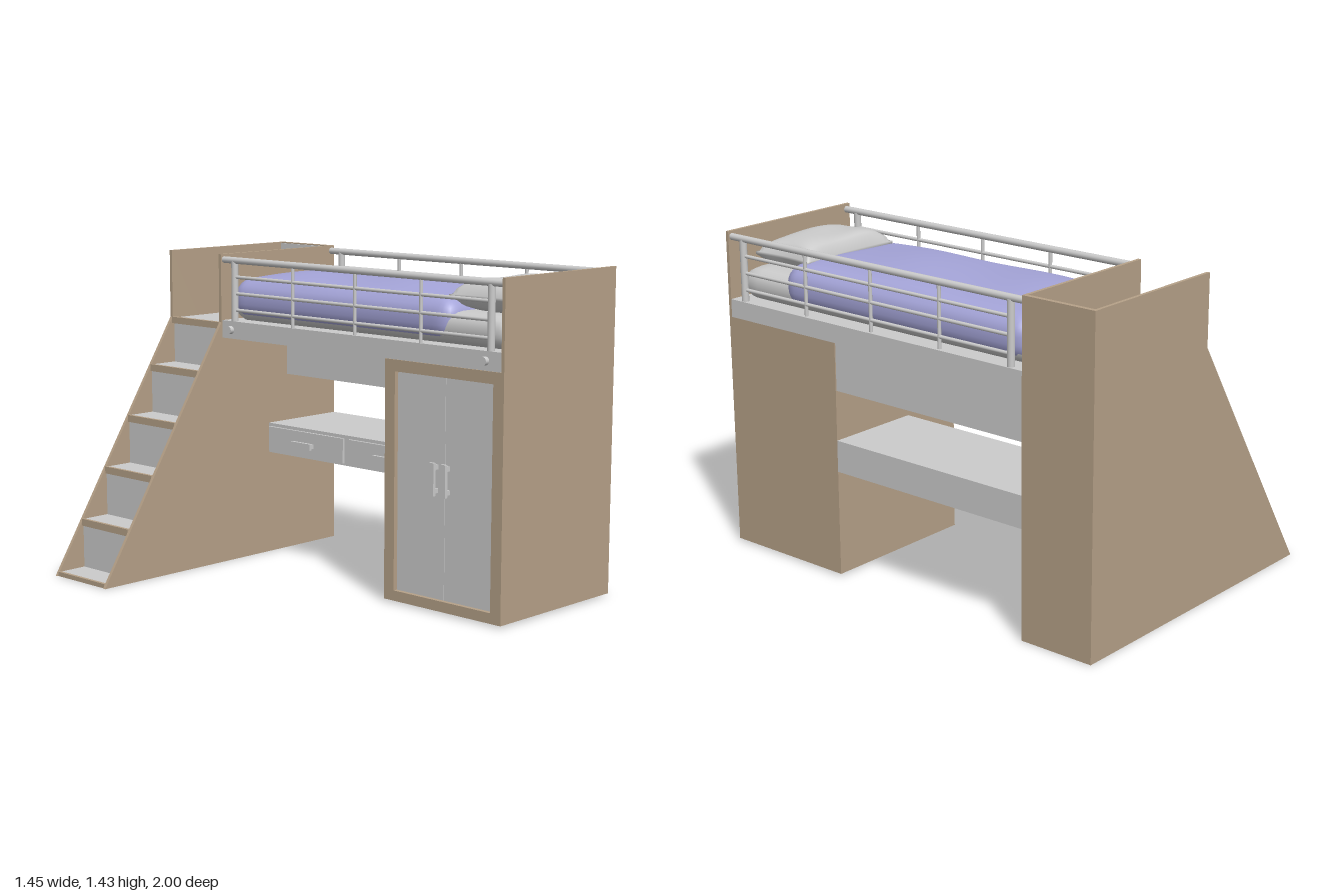
import * as THREE from 'three';
import { mergeVertices } from 'three/addons/utils/BufferGeometryUtils.js';

const wood = new THREE.MeshStandardMaterial({ color: 0xb6a188 });
const grey = new THREE.MeshStandardMaterial({ color: 0xcccccc });
const blue = new THREE.MeshStandardMaterial({ color: 0xa5a5d9 });

export function createModel() {
  const model = new THREE.Group();

  const add = (name, geometry, material, parent = model) => {
    const mesh = new THREE.Mesh(geometry, material);
    mesh.name = name;
    parent.add(mesh);
    return mesh;
  };
  const group = (name) => {
    const g = new THREE.Group();
    g.name = name;
    model.add(g);
    return g;
  };
  // Box given by its limits on each axis
  const box = (name, material, [x0, x1], [y0, y1], [z0, z1], parent) => {
    const mesh = add(name, new THREE.BoxGeometry(x1 - x0, y1 - y0, z1 - z0), material, parent);
    mesh.position.set((x0 + x1) / 2, (y0 + y1) / 2, (z0 + z1) / 2);
    return mesh;
  };
  // Straight round bar between two points
  const bar = (name, a, b, radius, parent) => {
    const p = new THREE.Vector3(...a), q = new THREE.Vector3(...b);
    const mesh = add(name, new THREE.CylinderGeometry(radius, radius, p.distanceTo(q), 14), grey, parent);
    mesh.position.copy(p).lerp(q, 0.5);
    mesh.quaternion.setFromUnitVectors(new THREE.Vector3(0, 1, 0), q.sub(p).normalize());
    return mesh;
  };
  // Smooth geometry from a subdivided box whose vertices are moved by a rule
  const moulded = (size, segments, rule) => {
    let g = new THREE.BoxGeometry(...size, ...segments);
    g.deleteAttribute('normal');
    g.deleteAttribute('uv');
    g = mergeVertices(g);
    const pos = g.attributes.position, v = new THREE.Vector3();
    for (let i = 0; i < pos.count; i++) {
      rule(v.fromBufferAttribute(pos, i));
      pos.setXYZ(i, v.x, v.y, v.z);
    }
    g.computeVertexNormals();
    return g;
  };
  // Rounds the edges of a box of the given size
  const roundEdges = (v, [w, h, d], r) => {
    const core = new THREE.Vector3(
      THREE.MathUtils.clamp(v.x, r - w / 2, w / 2 - r),
      THREE.MathUtils.clamp(v.y, r - h / 2, h / 2 - r),
      THREE.MathUtils.clamp(v.z, r - d / 2, d / 2 - r));
    const off = v.clone().sub(core);
    if (off.lengthSq() > 0) v.copy(core).add(off.setLength(Math.min(r, off.length())));
  };

  // Stair unit with tower: two shaped side walls
  const stairs = group('stairUnit');
  const outline = new THREE.Shape([[-0.73, 0], [0.72, 0], [0.72, 1.43], [-0.02, 1.43], [-0.02, 1.12]]
    .map(([x, y]) => new THREE.Vector2(x, y)));
  for (const [name, z] of [['stairBackWall', -1], ['stairInnerWall', -0.665]]) {
    const wall = add(name, new THREE.ExtrudeGeometry(outline, { depth: 0.015, bevelEnabled: false }), wood, stairs);
    wall.position.z = z;
  }
  const inside = [-0.985, -0.665];
  box('towerEndWall', wood, [0.7, 0.72], [0, 1.43], inside, stairs);
  box('towerLining', grey, [0.692, 0.7], [1.1, 1.425], inside, stairs);
  box('stairBase', wood, [-0.715, 0.7], [0, 0.01], inside, stairs);
  box('landing', grey, [-0.01, 0.695], [0.01, 1.115], inside, stairs);
  box('landingNosing', wood, [-0.025, -0.005], [1.09, 1.12], inside, stairs);

  // Five steps, each with a wooden nosing on the slope
  const run = 0.141, slope = 1.12 / 0.71;
  for (let i = 0; i < 5; i++) {
    const x = -0.725 + run * i;
    const y = 0.018 + run * slope * i;
    box('step', grey, [x + 0.008, x + run + 0.008], [0.01, y], inside, stairs);
    box('stepNosing', wood, [x, x + 0.015], [Math.max(0, y - 0.03), y + 0.002], inside, stairs);
  }

  // Wardrobe under the head end, doors facing -x
  const wardrobe = group('wardrobe');
  box('wardrobeBody', wood, [0.015, 0.72], [0.01, 1.05], [0.36, 0.985], wardrobe);
  for (const z of [[0.36, 0.415], [0.945, 0.985]])
    box('doorFrameUpright', wood, [-0.02, 0.015], [0.01, 1.05], z, wardrobe);
  for (const y of [[0.01, 0.055], [1.0, 1.05]])
    box('doorFrameRail', wood, [-0.02, 0.015], y, [0.415, 0.945], wardrobe);
  for (const s of [-1, 1]) {
    const z = 0.68 + s * 0.1325;
    box('wardrobeDoor', grey, [0, 0.015], [0.055, 1.0], [z - 0.1315, z + 0.1315], wardrobe);
    const h = 0.665 + s * 0.032;
    box('doorHandle', grey, [-0.035, -0.02], [0.5, 0.64], [h - 0.013, h + 0.013], wardrobe);
    for (const y of [0.52, 0.62])
      box('handleMount', grey, [-0.02, 0], [y - 0.01, y + 0.01], [h - 0.01, h + 0.01], wardrobe);
  }
  box('headPanel', wood, [-0.02, 0.72], [0.01, 1.43], [0.985, 1]);

  // Desk with drawers, and the cabinet above it
  const desk = group('desk');
  box('deskBody', grey, [0.28, 0.72], [0.48, 0.62], [-0.65, 0.36], desk);
  for (const z of [-0.4, 0.11]) {
    box('drawerFront', grey, [0.268, 0.28], [0.49, 0.605], [z - 0.24, z + 0.24], desk);
    box('drawerHandle', grey, [0.235, 0.25], [0.53, 0.56], [z - 0.06, z + 0.06], desk);
    for (const s of [-1, 1])
      box('drawerHandleMount', grey, [0.25, 0.268], [0.535, 0.555],
        [z + s * 0.045 - 0.01, z + s * 0.045 + 0.01], desk);
  }
  box('overDeskCabinet', grey, [0.4, 0.715], [0.84, 1.05], [-0.65, 0.36]);

  // Bed platform and its bolts
  box('bedPlatform', grey, [-0.015, 0.72], [1.05, 1.13], [-0.65, 0.985]);
  for (const z of [-0.59, 0.9]) bar('platformBolt', [-0.035, 1.09, z], [-0.015, 1.09, z], 0.018);

  // Guard rails on both long sides
  for (const x of [0, 0.7]) {
    const rail = group('guardRail');
    bar('topRail', [x, 1.405, -0.65], [x, 1.405, 0.985], 0.015, rail);
    for (const z of [-0.58, 0.915]) bar('railPost', [x, 1.13, z], [x, 1.4, z], 0.016, rail);
    for (const y of [1.18, 1.255, 1.33]) bar('railBar', [x, y, -0.58], [x, y, 0.915], 0.008, rail);
    for (const z of [-0.21, 0.165, 0.54]) bar('railUpright', [x, 1.13, z], [x, 1.4, z], 0.008, rail);
  }

  // Mattress
  const mSize = [0.64, 0.14, 1.62];
  add('mattress', moulded(mSize, [16, 8, 30], (v) => roundEdges(v, mSize, 0.065)), grey)
    .position.set(0.35, 1.195, 0.17);

  // Blanket: rounded, domed and gently rippled
  const bSize = [0.665, 0.185, 1.34];
  add('blanket', moulded(bSize, [28, 10, 50], (v) => {
    const u = v.x / 0.3325, w = v.z / 0.67;
    const top = Math.max(0, v.y / 0.0925);
    roundEdges(v, bSize, 0.08);
    const fade = (1 - u * u) * (1 - w ** 4);
    v.y += top * fade * (0.03 + 0.007 * Math.sin(v.z * 9 + v.x * 6));
    v.z += 0.02 * Math.max(0, w) * Math.sin(u * 2.5);
  }), blue).position.set(0.35, 1.225, 0.03);

  // Pillow: puffed in the middle, with drawn-in edges
  add('pillow', moulded([0.52, 0.02, 0.32], [24, 1, 18], (v) => {
    const u = v.x / 0.26, w = v.z / 0.16;
    const puff = Math.sqrt((1 - u ** 4) * (1 - w ** 4));
    v.y = Math.sign(v.y) * (0.006 + 0.066 * puff) + 0.005 * puff * Math.sin(v.x * 14 + v.z * 18);
    v.x *= 1 - 0.06 * (1 - w * w);
    v.z *= 1 - 0.07 * (1 - u * u);
  }), grey).position.set(0.35, 1.325, 0.775);

  return model;
}
